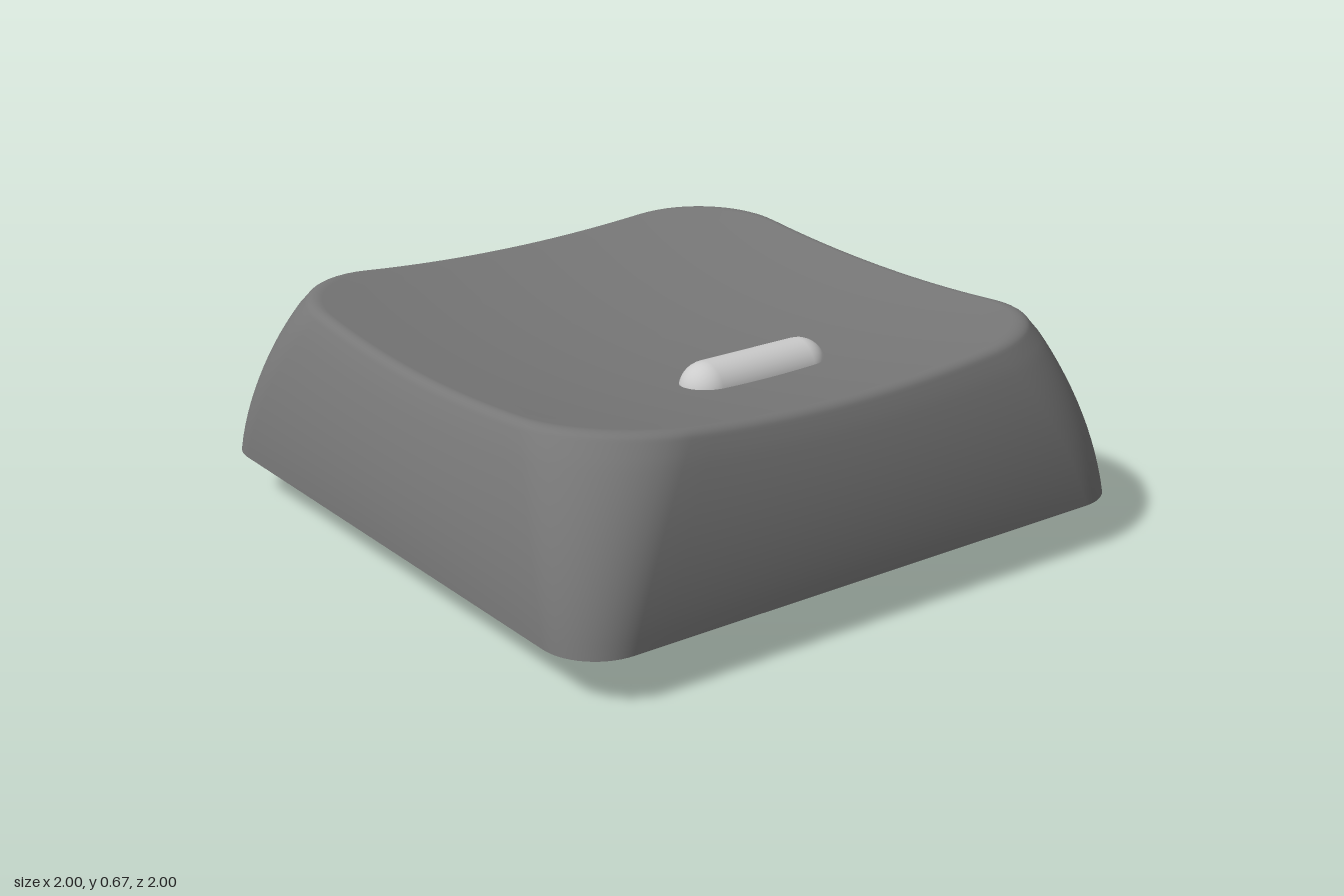
import * as THREE from 'three';
import { toCreasedNormals } from 'three/addons/utils/BufferGeometryUtils.js';

const BASE = 0.14, CEILING = 0.42;

// Height of the bowl-shaped top
const dish = (x, z) => 0.56 + 0.1 * (x * x + z * z);

// Rounded square with half size a, corner radius r and sides that bulge by b
function outline(a, r, b = 0) {
  const pts = [], arc = 14, side = 16, c = a - r;
  for (let q = 0; q < 4; q++) {
    const rot = q * Math.PI / 2, cs = Math.cos(rot), sn = Math.sin(rot);
    const add = (x, z) => {
      const X = x * cs - z * sn, Z = x * sn + z * cs;
      pts.push([X * (1 - b * (Z / a) ** 2), Z * (1 - b * (X / a) ** 2)]);
    };
    for (let i = 0; i < side; i++) add(a, -c + 2 * c * i / side);
    for (let i = 0; i < arc; i++) {
      const t = i / arc * Math.PI / 2;
      add(c + r * Math.cos(t), c + r * Math.sin(t));
    }
  }
  return pts;
}

// Ring of 3D points; y is a number or a function of x and z
const ring = (pts, y, scale = 1) => pts.map(([x, z]) => {
  const X = x * scale, Z = z * scale;
  return [X, typeof y === 'function' ? y(X, Z) : y, Z];
});

// Skin over a list of closed rings
function loft(rings) {
  const n = rings[0].length, index = [];
  for (let i = 0; i < rings.length - 1; i++) {
    for (let j = 0; j < n; j++) {
      const k = (j + 1) % n, a = i * n + j, b = i * n + k, c = a + n, d = b + n;
      index.push(a, b, c, b, d, c);
    }
  }
  const g = new THREE.BufferGeometry();
  g.setAttribute('position', new THREE.Float32BufferAttribute(rings.flat(2), 3));
  g.setIndex(index);
  g.computeVertexNormals();
  return g;
}

export function createModel() {
  const model = new THREE.Group();
  const dark = new THREE.MeshStandardMaterial({ color: 0x777777 });
  const light = new THREE.MeshStandardMaterial({ color: 0xcccccc });
  const add = (name, geometry, material = dark) => {
    const mesh = new THREE.Mesh(geometry, material);
    mesh.name = name;
    model.add(mesh);
    return mesh;
  };

  // Outer shell: dished top, soft shoulder, then walls flaring to the base
  const FILLET = 0.045, TOP = 0.893;
  const rings = [];
  const inner = outline(TOP - FILLET, 0.32, 0.025);
  for (let i = 0; i < 14; i++) rings.push(ring(inner, dish, i / 14));
  for (let i = 0; i <= 7; i++) {
    const t = Math.PI / 2 * (1 - i / 7 * 0.78);
    const pts = outline(TOP - FILLET * (1 - Math.cos(t)), 0.32, 0.025);
    rings.push(ring(pts, (x, z) => dish(x, z) - FILLET * (1 - Math.sin(t))));
  }
  const drop = FILLET * (1 - Math.sin(Math.PI / 2 * 0.22));
  for (let i = 13; i >= 0; i--) {
    const s = i / 14;
    const pts = outline(1 - (1 - TOP) * s ** 1.8, 0.17 + 0.15 * s, 0.025 * s);
    rings.push(ring(pts, (x, z) => THREE.MathUtils.lerp(BASE, dish(x, z) - drop, s)));
  }
  add('shell', loft(rings));

  // Flat rim under the walls
  const mouth = outline(0.9, 0.08);
  add('rim', loft([ring(outline(1, 0.17), BASE), ring(mouth, BASE)]));

  // Hollow inside with a rounded ceiling edge
  const cavity = [ring(mouth, BASE), ring(outline(0.86, 0.13), 0.26)];
  for (let i = 0; i <= 6; i++) {
    const t = i / 6 * Math.PI / 2;
    cavity.push(ring(outline(0.76 + 0.06 * Math.cos(t), 0.18), CEILING - 0.06 + 0.06 * Math.sin(t)));
  }
  for (const s of [0.95, 0.5, 0]) cavity.push(ring(outline(0.76, 0.18), CEILING, s));
  add('cavity', loft(cavity));

  // Stem skin: chamfered foot and a flared joint at the ceiling
  const profile = [[0.28, 0], [0.3, 0.02], [0.3, 0.36], [0.306, 0.385], [0.32, 0.405], [0.345, CEILING]];
  const skin = new THREE.LatheGeometry(profile.map(p => new THREE.Vector2(...p)), 64);
  add('stem', toCreasedNormals(skin, 0.6));

  // Stem core with a cross-shaped socket
  const L = 0.23, w = 0.072;
  const core = new THREE.Shape().absarc(0, 0, 0.28, 0, Math.PI * 2);
  const cross = [];
  for (let q = 0; q < 4; q++) {
    for (const [x, y] of [[L, -w], [L, w], [w, w]]) {
      cross.push(new THREE.Vector2(x, y).rotateAround(new THREE.Vector2(), q * Math.PI / 2));
    }
  }
  core.holes.push(new THREE.Path(cross));
  const coreGeometry = new THREE.ExtrudeGeometry(core, { depth: CEILING + 0.01, bevelEnabled: false, curveSegments: 64 });
  add('stemSocket', coreGeometry.rotateX(-Math.PI / 2));

  // Raised finger bar near the front edge
  const bar = new THREE.CapsuleGeometry(0.082, 0.336, 10, 28).rotateZ(Math.PI / 2);
  add('fingerBar', bar, light).position.set(0, 0.567, 0.442);

  return model;
}
